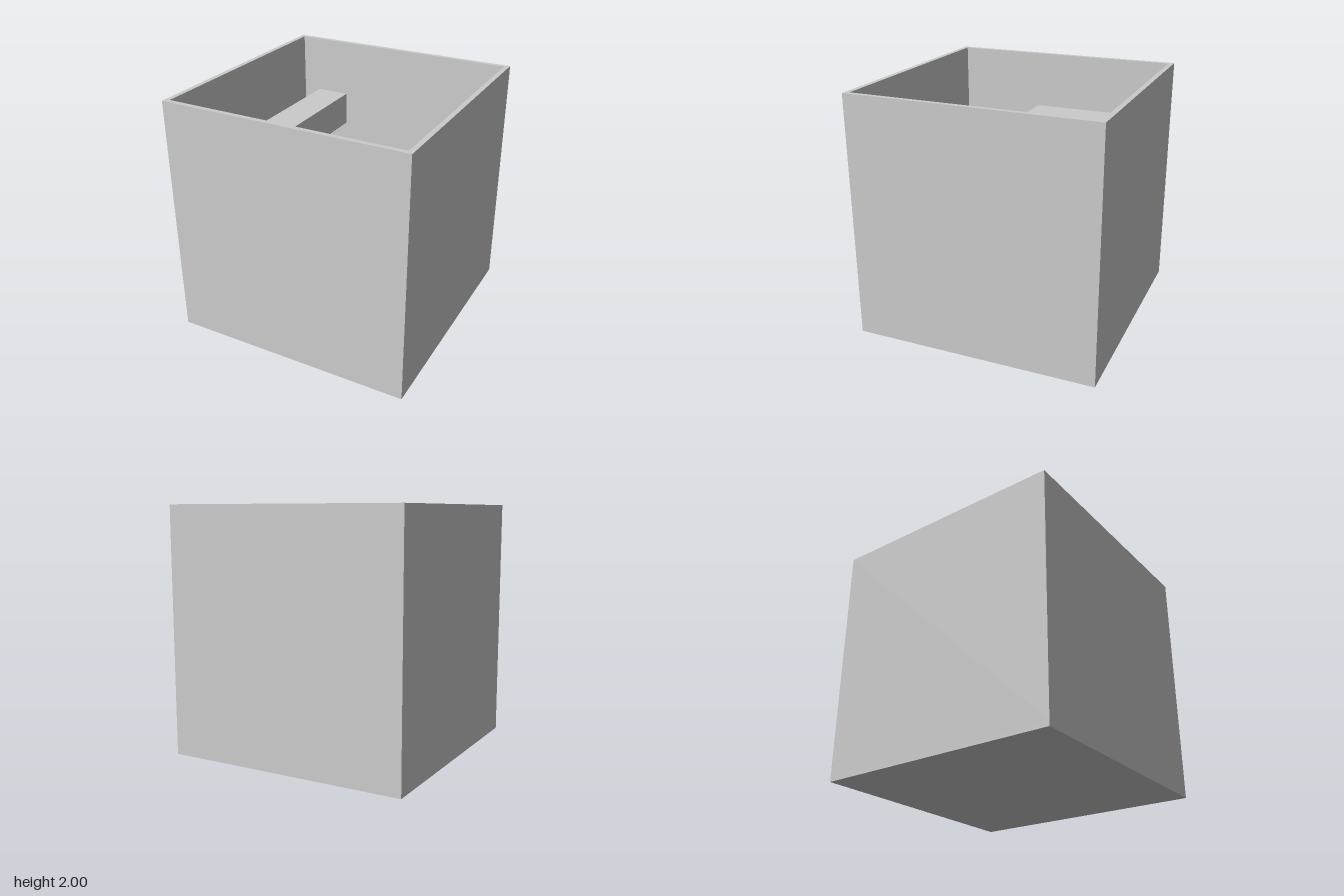
import * as THREE from 'three';

const SIZE = 2, WALL = 0.04;

export function createModel() {
  const model = new THREE.Group();
  model.name = 'openBox';
  const material = new THREE.MeshStandardMaterial({ color: 0xcccccc, flatShading: true });

  const add = (name, geometry, x, y, z) => {
    const mesh = new THREE.Mesh(geometry, material);
    mesh.name = name;
    mesh.position.set(x, y, z);
    model.add(mesh);
    return mesh;
  };

  const square = (Type, h) => new Type([[-h, -h], [h, -h], [h, h], [-h, h]].map(([x, y]) => new THREE.Vector2(x, y)));

  // Four walls: a square frame extruded upwards from the floor
  const frame = square(THREE.Shape, SIZE / 2);
  frame.holes.push(square(THREE.Path, SIZE / 2 - WALL));
  const walls = new THREE.ExtrudeGeometry(frame, { depth: SIZE - WALL, bevelEnabled: false });
  walls.rotateX(-Math.PI / 2);
  add('walls', walls, 0, WALL, 0);

  // Floor plate
  add('floor', new THREE.BoxGeometry(SIZE, WALL, SIZE), 0, WALL / 2, 0);

  // Two square-section blocks inside, one high and one low
  const block = new THREE.BoxGeometry(0.28, 0.28, 0.915);
  add('upperBlock', block, -0.56, 1.446, -0.322);
  add('lowerBlock', block, 0.52, 0.75, -0.322);

  return model;
}
